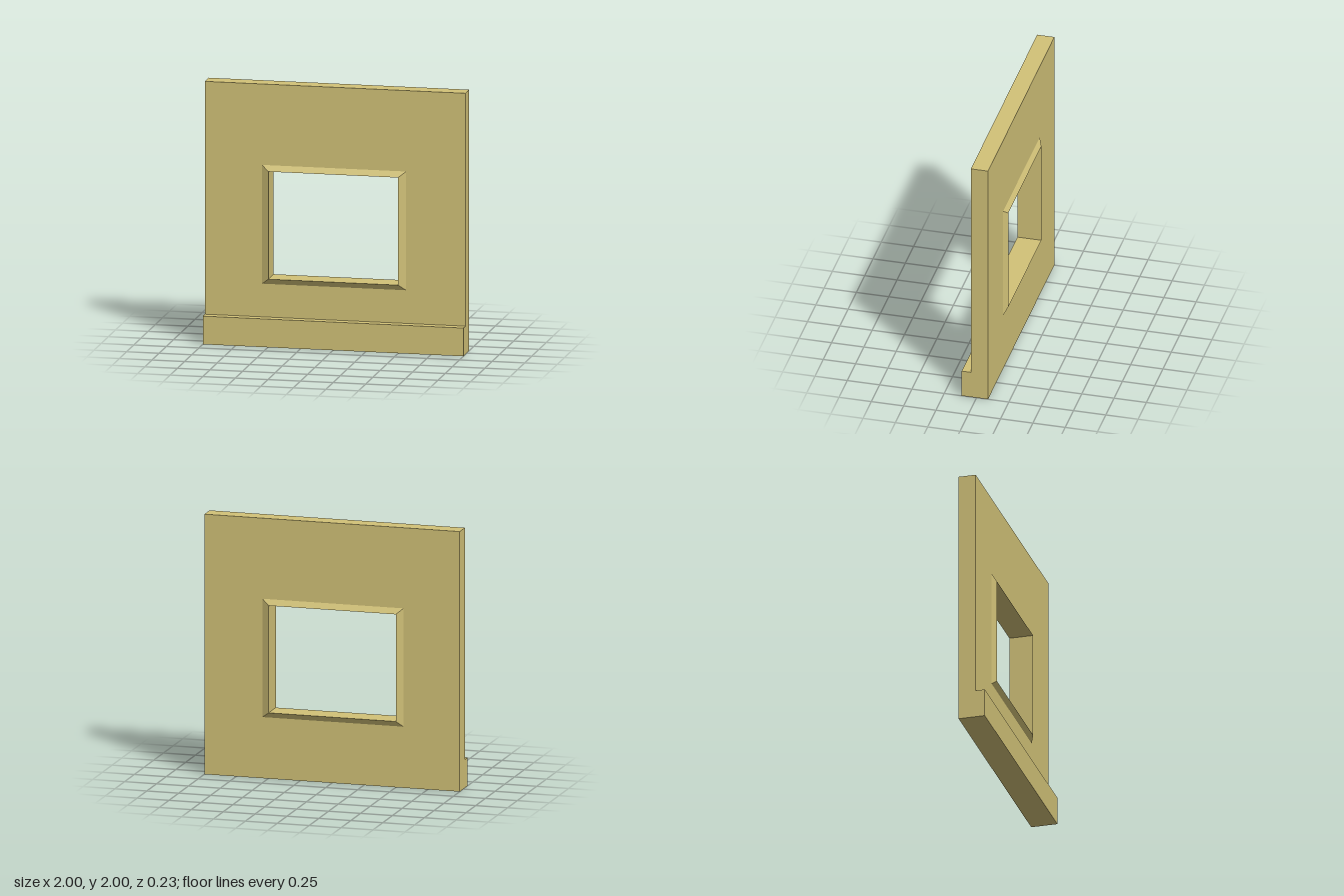
import * as THREE from 'three';

// Rectangular cross-section: left, right, bottom, top at depth z
const rect = (l, r, b, t, z) => [[l, b, z], [r, b, z], [r, t, z], [l, t, z]];

// Joins successive rectangles with flat quads
function loftRects(sections) {
  const pos = [];
  for (let s = 0; s < sections.length - 1; s++) {
    const a = sections[s], b = sections[s + 1];
    for (let i = 0; i < 4; i++) {
      const j = (i + 1) % 4;
      pos.push(...a[i], ...a[j], ...b[j], ...a[i], ...b[j], ...b[i]);
    }
  }
  const geo = new THREE.BufferGeometry();
  geo.setAttribute('position', new THREE.Float32BufferAttribute(pos, 3));
  geo.computeVertexNormals();
  return geo;
}

export function createModel() {
  const group = new THREE.Group();
  const material = new THREE.MeshStandardMaterial({ color: 0xd2c278, flatShading: true });
  const add = (name, geometry) => {
    const mesh = new THREE.Mesh(geometry, material);
    mesh.name = name;
    group.add(mesh);
    return mesh;
  };

  const back = -0.089, front = 0.044;
  const crestBack = -0.115, crestFront = 0.07, plinthFront = 0.115;
  const wall = z => rect(-1, 1, 0, 2, z);
  const frameOuter = z => rect(-0.56, 0.545, 0.47, 1.38, z);
  const opening = z => rect(-0.507, 0.489, 0.512, 1.336, z);

  // Wall slab: back face, outer edges, front face
  add('wallPanel', loftRects([frameOuter(back), wall(back), wall(front), frameOuter(front)]));

  // Bevelled window surround on both faces, with the tunnel between
  add('windowFrame', loftRects([
    frameOuter(front), opening(crestFront), opening(crestBack), frameOuter(back),
  ]));

  // Plinth along the foot of the front face
  const plinthHeight = 0.216;
  add('plinth', new THREE.BoxGeometry(2, plinthHeight, plinthFront - front))
    .position.set(0, plinthHeight / 2, (plinthFront + front) / 2);

  return group;
}
